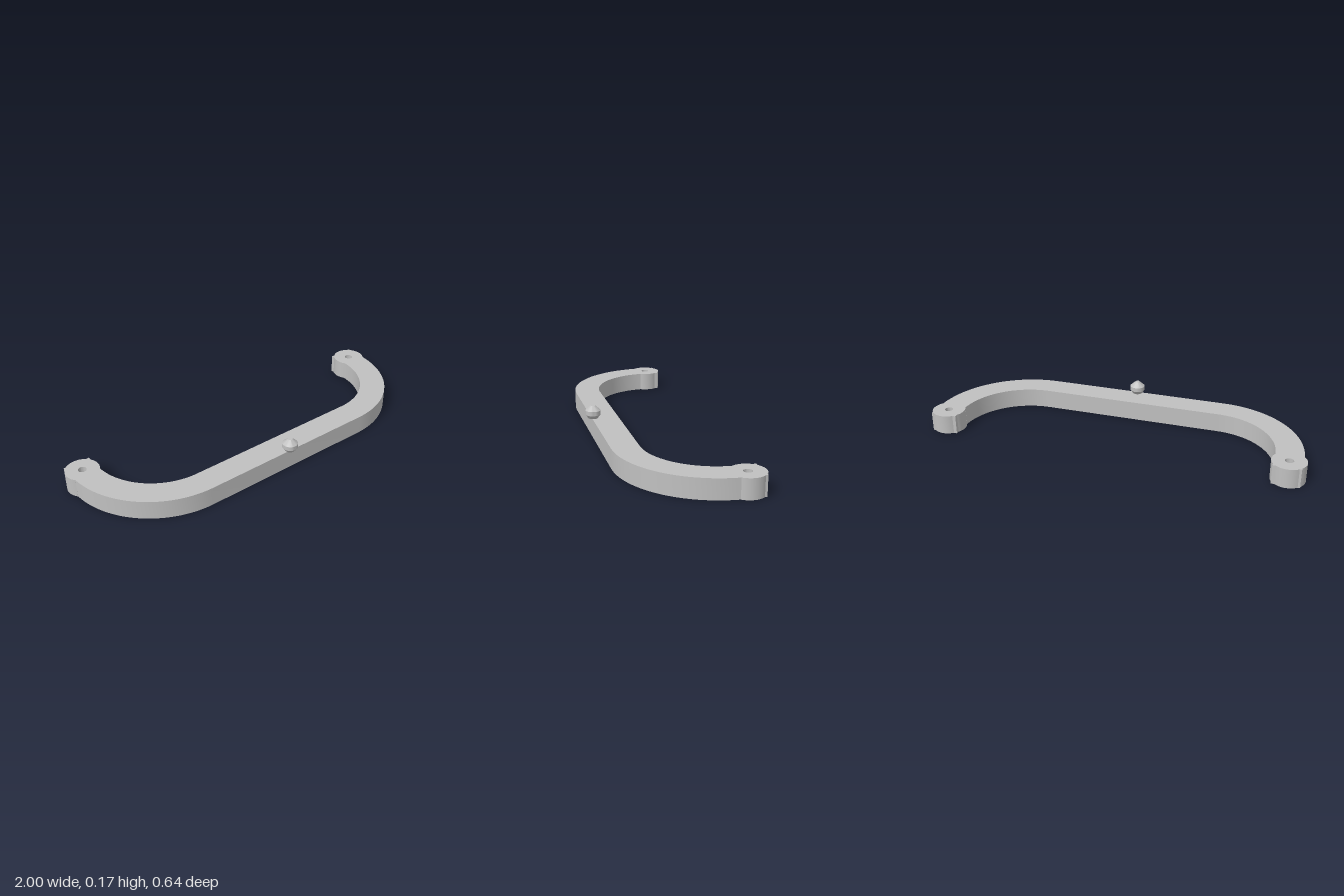
import * as THREE from 'three';
import { toCreasedNormals } from 'three/addons/utils/BufferGeometryUtils.js';

const HEIGHT = 0.102;
const BEND = { x: 0.49, z: -0.205, outer: 0.49, inner: 0.35 };
const BOSS = { x: 0.913, z: -0.235, r: 0.087, hole: 0.022 };

// Points along an arc in plan; angles in degrees, measured from +x towards +z
function arc(cx, cz, r, from, to, steps) {
  return Array.from({ length: steps + 1 }, (_, i) => {
    const a = THREE.MathUtils.degToRad(from + ((to - from) * i) / steps);
    return new THREE.Vector2(cx + r * Math.cos(a), -(cz + r * Math.sin(a)));
  });
}

function createHandle(material) {
  // Right half outline: outer bend, screw boss with square shoulders, inner bend
  const half = [
    ...arc(BEND.x, BEND.z, BEND.outer, 90, 2.9, 28),
    ...arc(BOSS.x, BOSS.z, BOSS.r, 39.6, -39.6, 10),
    new THREE.Vector2(0.98, 0.302),
    ...arc(BOSS.x, BOSS.z, BOSS.r, -50.4, -129.6, 10),
    new THREE.Vector2(0.84, 0.302),
    ...arc(BOSS.x, BOSS.z, BOSS.r, -147, -213, 10),
    ...arc(BEND.x, BEND.z, BEND.inner, 2.8, 90, 28),
  ];
  const mirrored = half.map((p) => new THREE.Vector2(-p.x, p.y)).reverse();
  const shape = new THREE.Shape([...half, ...mirrored]);

  // Screw holes
  for (const side of [-1, 1]) {
    const hole = new THREE.Path();
    hole.absarc(side * BOSS.x, -BOSS.z, BOSS.hole, 0, Math.PI * 2, true);
    shape.holes.push(hole);
  }

  const extruded = new THREE.ExtrudeGeometry(shape, { depth: HEIGHT, bevelEnabled: false, curveSegments: 12 });
  extruded.rotateX(-Math.PI / 2);
  const handle = new THREE.Mesh(toCreasedNormals(extruded, 0.4), material);
  handle.name = 'handle';
  return handle;
}

function createKnob(material) {
  // Double-coned profile with a flat tip
  const profile = [
    [0, 0], [0.025, 0], [0.04, 0.02], [0.04, 0.043], [0.012, 0.068], [0, 0.068],
  ].map(([r, y]) => new THREE.Vector2(r, y));
  const knob = new THREE.Mesh(toCreasedNormals(new THREE.LatheGeometry(profile, 32), 0.4), material);
  knob.name = 'knob';
  knob.position.set(0, HEIGHT, 0.278);
  return knob;
}

export function createModel() {
  const metal = new THREE.MeshStandardMaterial({ color: 0xc0c0c0 });
  metal.name = 'light grey metal';
  const model = new THREE.Group();
  model.name = 'pullHandle';
  model.add(createHandle(metal), createKnob(metal));
  return model;
}
